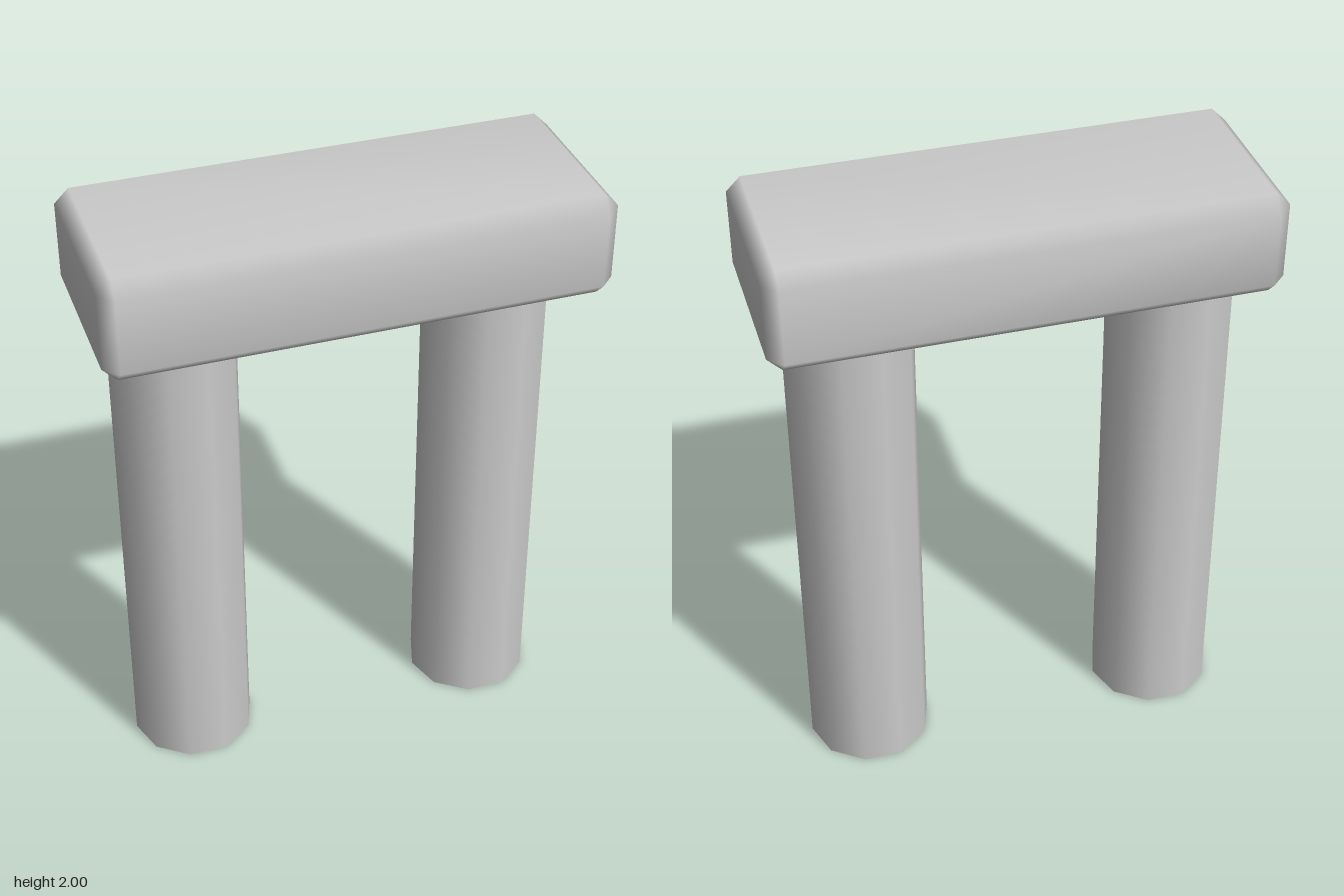
import * as THREE from 'three';
import { mergeVertices } from 'three/addons/utils/BufferGeometryUtils.js';
import { ConvexGeometry } from 'three/addons/geometries/ConvexGeometry.js';

const material = new THREE.MeshStandardMaterial({ color: 0xcccccc });

// Box with every edge cut at 45 degrees and shaded smoothly
function chamferedBox(w, h, d, c) {
  const points = [];
  for (const sx of [-1, 1]) for (const sy of [-1, 1]) for (const sz of [-1, 1]) {
    for (const axis of [0, 1, 2]) {
      const inset = [c, c, c];
      inset[axis] = 0;
      points.push(new THREE.Vector3(
        sx * (w / 2 - inset[0]), sy * (h / 2 - inset[1]), sz * (d / 2 - inset[2])));
    }
  }
  const geometry = new ConvexGeometry(points);
  geometry.deleteAttribute('normal');
  const smooth = mergeVertices(geometry);
  smooth.computeVertexNormals();
  return smooth;
}

// Ten-sided turned surface with corners on the x axis
function turned(name, profile) {
  const points = profile.map(([r, y]) => new THREE.Vector2(r, y));
  const mesh = new THREE.Mesh(new THREE.LatheGeometry(points, 10, Math.PI / 2), material);
  mesh.name = name;
  return mesh;
}

export function createModel() {
  const model = new THREE.Group();
  model.name = 'stoneArch';

  // Lintel across the top
  const lintel = new THREE.Mesh(chamferedBox(1.57, 0.335, 0.622, 0.045), material);
  lintel.name = 'lintel';
  lintel.position.y = 1.8325;
  model.add(lintel);

  // Two columns, set slightly towards the back, with hollowed feet
  for (const side of [1, -1]) {
    const column = new THREE.Group();
    column.name = side > 0 ? 'leftColumn' : 'rightColumn';
    column.add(
      turned('shaft', [[0.202, 0], [0.202, 1.69]]),
      turned('footHollow', [[0, 0.05], [0.145, 0.05], [0.202, 0]]),
    );
    column.position.set(side * 0.505, 0, -0.048);
    model.add(column);
  }
  return model;
}
